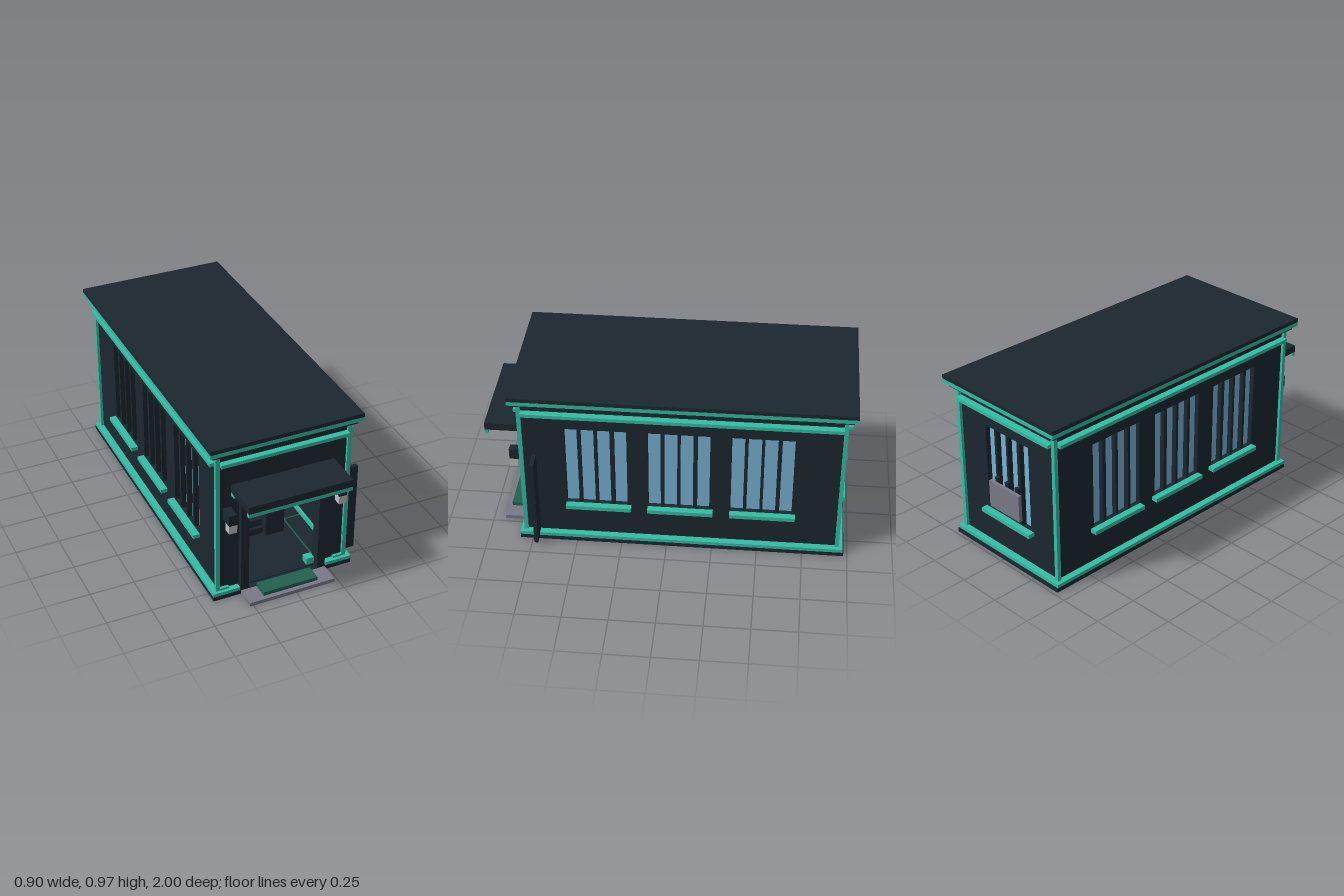
import * as THREE from 'three';

const mat = (name, color) => {
  const m = new THREE.MeshStandardMaterial({ color });
  m.name = name;
  return m;
};

export function createModel() {
  const model = new THREE.Group();
  const dark = mat('darkSlate', 0x1c2730);
  const teal = mat('tealTrim', 0x33bea4);
  const glass = mat('blueGlass', 0x77b3d4);
  const light = mat('lightGrey', 0xbebfc4);
  const stone = mat('stoneGrey', 0x787988);
  const carpet = mat('matGreen', 0x22614f);

  // Box given by its extents
  function box(name, m, x0, x1, y0, y1, z0, z1, parent = model) {
    const mesh = new THREE.Mesh(new THREE.BoxGeometry(x1 - x0, y1 - y0, z1 - z0), m);
    mesh.position.set((x0 + x1) / 2, (y0 + y1) / 2, (z0 + z1) / 2);
    mesh.name = name;
    parent.add(mesh);
  }

  // Upright cylinder with few sides
  function drum(name, m, x, z, r, y0, y1, sides) {
    const mesh = new THREE.Mesh(new THREE.CylinderGeometry(r, r, y1 - y0, sides), m);
    mesh.position.set(x, (y0 + y1) / 2, z);
    mesh.rotation.y = Math.PI / sides;
    mesh.name = name;
    model.add(mesh);
  }

  // Rectangular frame of four bars running round the building
  function ring(name, m, x0, x1, z0, z1, y0, y1, t) {
    const g = new THREE.Group();
    g.name = name;
    box('leftBar', m, x1 - t, x1, y0, y1, z0, z1, g);
    box('rightBar', m, x0, x0 + t, y0, y1, z0, z1, g);
    box('frontBar', m, x0 + t, x1 - t, y0, y1, z1 - t, z1, g);
    box('backBar', m, x0 + t, x1 - t, y0, y1, z0, z0 + t, g);
    model.add(g);
  }

  // Wall panel with rectangular openings [u0, u1, y0, y1]
  const thick = 0.028;
  function wall(name, u0, u1, holes) {
    const rect = (P, a, b, c, d) =>
      new P([[a, c], [b, c], [b, d], [a, d]].map(p => new THREE.Vector2(...p)));
    const shape = rect(THREE.Shape, u0, u1, 0.02, 0.91);
    holes.forEach(h => shape.holes.push(rect(THREE.Path, ...h)));
    const mesh = new THREE.Mesh(
      new THREE.ExtrudeGeometry(shape, { depth: thick, bevelEnabled: false }), dark);
    mesh.name = name;
    model.add(mesh);
    return mesh;
  }

  const X0 = -0.39, X1 = 0.345, Z0 = -0.937, Z1 = 0.787;
  const panes = [[0, 0.068], [0.09, 0.16], [0.176, 0.248], [0.266, 0.335]];
  const WY0 = 0.248, WY1 = 0.745;

  // Side walls with three groups of four tall panes
  const starts = [0.217, -0.232, -0.682];
  const sideHoles = starts.flatMap(s => panes.map(([a, b]) => [s + a, s + b, WY0, WY1]));
  for (const side of [1, -1]) {
    const w = wall(side > 0 ? 'leftWall' : 'rightWall', Z0, Z1, sideHoles);
    w.rotation.y = -Math.PI / 2;
    w.position.x = side > 0 ? X1 : X0 + thick;
    const gx = side > 0 ? X1 - thick - 0.008 : X0 + thick;
    const sx = side > 0 ? X1 : -0.428;
    const bx = side > 0 ? X1 - thick - 0.012 : X0 + thick;
    for (const s of starts) {
      box('sideGlass', glass, gx, gx + 0.008, WY0 - 0.01, WY1 + 0.01, s - 0.01, s + 0.345);
      box('sideSill', teal, sx, sx + 0.038, 0.225, 0.248, s - 0.02, s + 0.339);
    }
    box('innerBaseboard', teal, bx, bx + 0.012, 0.031, 0.06, Z0 + thick, Z1 - thick);
  }

  // Front wall with doorway, back wall with window
  wall('frontWall', X0 + thick, X1 - thick, [[-0.225, 0.18, 0.03, 0.585]]).position.z = Z1 - thick;
  wall('backWall', X0 + thick, X1 - thick,
    panes.map(([a, b]) => [-0.187 + a, -0.187 + b, WY0, WY1])).position.z = Z0;
  box('backGlass', glass, -0.2, 0.157, WY0 - 0.01, WY1 + 0.01, Z0 + thick, Z0 + thick + 0.008);
  box('backSill', teal, -0.21, 0.17, 0.225, 0.248, -0.975, Z0);
  box('backPanel', stone, -0.14, 0.095, 0.295, 0.45, -0.975, -0.955);
  for (const x of [-0.1, -0.022, 0.055])
    box('panelBracket', dark, x - 0.012, x + 0.012, 0.27, 0.475, -0.955, Z0);

  // Plinth, and trims that stop between the corner posts
  ring('plinth', dark, -0.428, 0.382, -0.98, 0.82, 0, 0.025, 0.045);
  ring('innerFooting', teal, -0.383, 0.337, -0.935, 0.775, 0.002, 0.03, 0.04);
  for (const x of [-0.428, X1]) {
    box('sideUpperBand', teal, x, x + 0.038, 0.833, 0.853, -0.931, 0.779);
    box('sideBaseTrim', teal, x, x + 0.038, 0.025, 0.045, -0.975, 0.82);
  }
  box('frontUpperBand', teal, -0.382, 0.337, 0.833, 0.853, Z1, 0.82);
  box('backUpperBand', teal, -0.382, 0.337, 0.833, 0.853, -0.975, Z0);
  box('backBaseTrim', teal, X0, X1, 0.025, 0.045, -0.975, Z0);
  box('frontBaseTrim', teal, X0, -0.275, 0.025, 0.045, Z1, 0.82);
  box('frontBaseTrim', teal, 0.23, X1, 0.025, 0.045, Z1, 0.82);
  for (const x of [-0.405, 0.337]) {
    for (const z of [-0.953, 0.779]) {
      box('cornerPost', teal, x, x + 0.023, 0.025, 0.9, z, z + 0.022);
    }
  }
  for (const x of [-0.383, 0.285])
    box('postFoot', teal, x, x + 0.052, 0.045, 0.057, Z1, 0.803);

  // Roof
  box('cornice', dark, -0.428, 0.382, 0.9, 0.922, -0.978, 0.82);
  box('roofTrim', teal, -0.45, 0.405, 0.922, 0.945, -1, 0.84);
  box('roof', dark, -0.45, 0.405, 0.945, 0.967, -1, 0.84);

  // Floor with thin inlaid lines
  box('floor', dark, X0 + 0.015, X1 - 0.015, 0.024, 0.031, Z0 + 0.015, Z1 - 0.015);
  for (const z of [-0.62, -0.13, 0.36])
    box('floorInlay', carpet, X0 + 0.03, X1 - 0.03, 0.0225, 0.0325, z, z + 0.008);
  for (const x of [-0.25, 0.2])
    box('floorInlay', carpet, x, x + 0.008, 0.0225, 0.0325, Z0 + 0.03, Z1 - 0.03);

  // Entrance: door frame, canopy, step and mat
  for (const x of [-0.27, 0.18])
    box('doorPost', dark, x, x + 0.045, 0.022, 0.633, Z1 - 0.01, 0.82);
  box('doorLintel', dark, -0.225, 0.18, 0.585, 0.633, Z1 - 0.01, 0.82);
  box('canopy', dark, -0.315, 0.268, 0.655, 0.697, Z1 - 0.01, 1);
  box('canopyTrim', teal, -0.315, 0.268, 0.633, 0.655, 0.98, 1);
  box('canopyWallTrim', teal, -0.315, 0.268, 0.633, 0.655, Z1 - 0.01, 0.82);
  box('step', stone, -0.27, 0.225, 0, 0.022, 0.8, 0.935);
  box('doormat', carpet, -0.18, 0.135, 0.022, 0.044, 0.82, 0.91);
  box('doorStop', teal, 0.135, 0.18, 0.025, 0.07, 0.735, 0.78);

  // Wall lamps beside the entrance
  for (const x of [-0.36, 0.268]) {
    box('lampHood', dark, x, x + 0.045, 0.5, 0.563, Z1 - 0.005, 0.865);
    box('lampGlow', light, x, x + 0.045, 0.452, 0.5, 0.82, 0.865);
  }

  // Upright board on the side
  box('sideBoard', dark, X1, 0.448, 0.025, 0.563, 0.71, 0.732);

  // Front exhibit: stepped body on a dark plinth
  box('exhibitPlinth', dark, -0.225, 0.13, 0.031, 0.07, 0.05, 0.43);
  box('exhibitPlinthTop', dark, -0.225, 0.09, 0.07, 0.113, 0.09, 0.41);
  box('exhibitBase', light, -0.225, 0.065, 0.113, 0.18, 0.14, 0.36);
  box('exhibitBody', light, -0.225, 0.045, 0.18, 0.405, 0.14, 0.36);
  box('exhibitFront', light, -0.2, -0.022, 0.14, 0.38, 0.36, 0.395);
  box('exhibitHead', light, -0.2, -0.022, 0.405, 0.45, 0.16, 0.34);
  box('exhibitBack', light, -0.135, 0.09, 0.25, 0.473, 0.09, 0.14);
  box('exhibitWindow', glass, -0.18, -0.045, 0.205, 0.315, 0.395, 0.402);
  box('exhibitBadge', teal, 0, 0.045, 0.33, 0.402, 0.36, 0.367);
  box('exhibitStand', dark, 0.045, 0.157, 0.031, 0.25, 0.36, 0.46);
  drum('exhibitFootRim', dark, -0.07, 0.12, 0.22, 0.018, 0.03, 8);
  drum('exhibitFoot', light, -0.07, 0.1, 0.17, 0.012, 0.02, 12);
  box('exhibitFootPanel', glass, -0.02, 0.035, 0.008, 0.014, 0.15, 0.21);

  // Rear exhibit: octagonal stand with a post
  drum('rearStand', dark, -0.022, -0.41, 0.15, 0.012, 0.07, 8);
  drum('rearStandTop', dark, -0.022, -0.41, 0.11, 0.07, 0.12, 8);
  box('rearPost', stone, -0.045, -0.002, 0.12, 0.563, -0.43, -0.39);

  return model;
}
